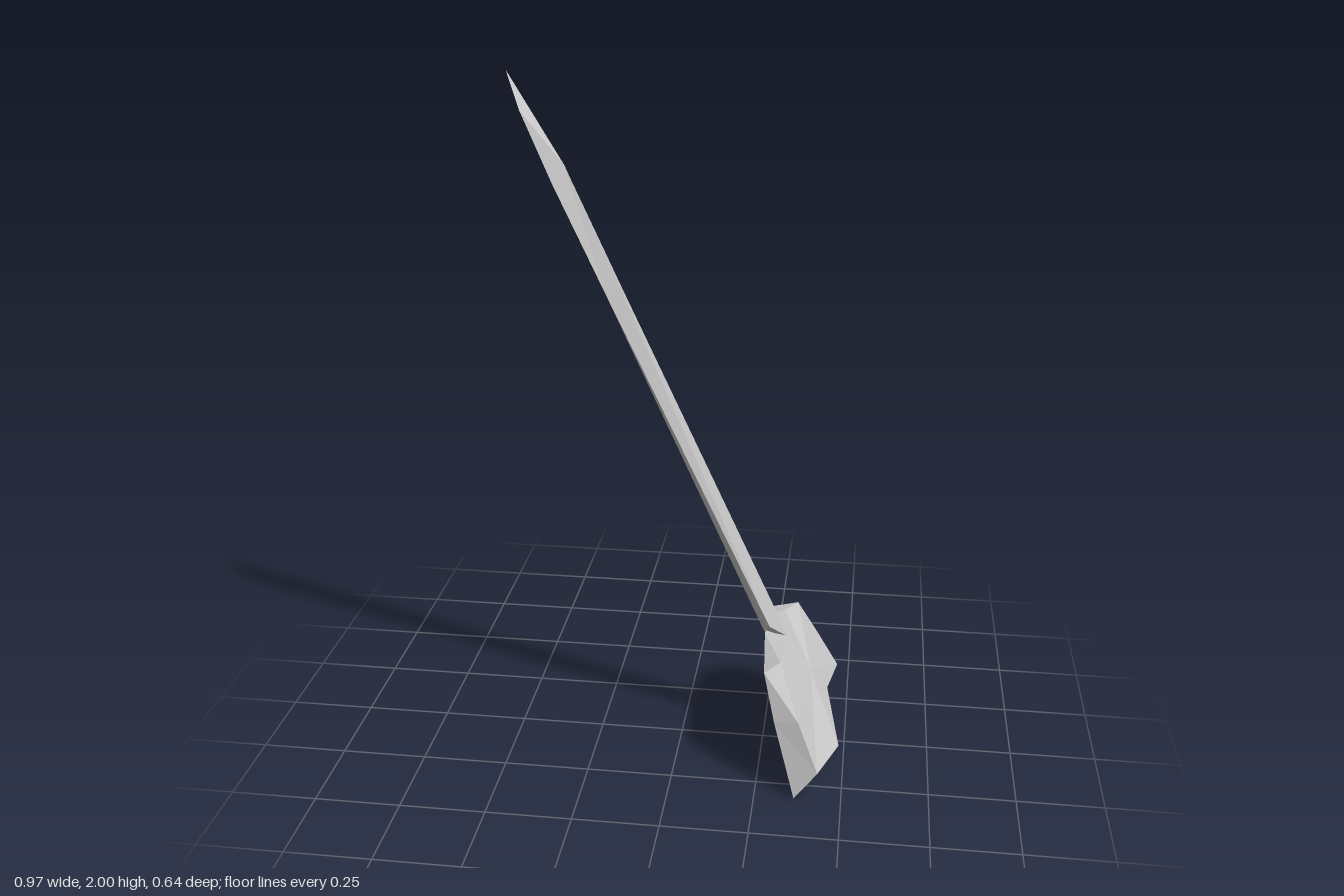
import * as THREE from 'three';

// Closed loft through rings of equal length, each end fanned to a centre point
function loft(rings, startCentre, endCentre) {
  const out = [];
  const tri = (a, b, c) => out.push(...a, ...b, ...c);
  const n = rings[0].length;
  const last = rings[rings.length - 1];
  for (let i = 0; i < n; i++) {
    const j = (i + 1) % n;
    for (let k = 0; k < rings.length - 1; k++) {
      const up = rings[k], low = rings[k + 1];
      tri(low[i], low[j], up[j]);
      tri(low[i], up[j], up[i]);
    }
    tri(startCentre, rings[0][i], rings[0][j]);
    tri(endCentre, last[j], last[i]);
  }
  const g = new THREE.BufferGeometry();
  g.setAttribute('position', new THREE.Float32BufferAttribute(out, 3));
  g.computeVertexNormals();
  return g;
}

export function createModel() {
  const group = new THREE.Group();
  group.name = 'broom';
  const grey = new THREE.MeshStandardMaterial({ color: 0xc8c8c8, flatShading: true });
  grey.name = 'plainGrey';

  // Leaning stick with a slanted, pointed top
  const tip = [-0.485, 2, -0.035], shoulder = [-0.44, 1.9, 0.015];
  const handle = new THREE.Mesh(loft([
    [tip, shoulder, shoulder, tip],
    [[-0.361, 1.72, -0.038], [-0.355, 1.7, 0.015], [-0.327, 1.75, -0.015], [-0.33, 1.74, -0.038]],
    [[-0.22, 1.4, -0.038], [-0.215, 1.4, 0.015], [-0.17, 1.4, -0.005], [-0.175, 1.4, -0.038]],
    [[0.245, 0.345, -0.035], [0.265, 0.388, 0.017], [0.32, 0.345, -0.01], [0.295, 0.36, -0.05]],
  ], [-0.462, 1.95, -0.01], [0.285, 0.34, -0.02]), grey);
  handle.name = 'handle';

  // Flared brush: rear outline, then front outline
  const rear = [
    [0.365, 0, 0.32], [0.30, 0.21, 0.26], [0.265, 0.345, 0.215], [0.25, 0.355, 0], [0.255, 0.355, -0.12],
    [0.26, 0.345, -0.2], [0.31, 0.2, -0.29], [0.37, 0.11, -0.31], [0.37, 0.1, -0.21], [0.36, 0.045, 0.1],
  ];
  const front = [
    [0.43, 0.08, 0.308], [0.37, 0.22, 0.27], [0.31, 0.363, 0.18], [0.32, 0.35, -0.01], [0.30, 0.356, -0.16],
    [0.335, 0.33, -0.265], [0.40, 0.21, -0.293], [0.465, 0.085, -0.32], [0.44, 0.12, -0.11], [0.485, 0.05, 0.105],
  ];
  const brush = new THREE.Mesh(loft([rear, front], [0.302, 0.22, 0], [0.39, 0.225, -0.03]), grey);
  brush.name = 'brushHead';

  group.add(handle, brush);
  return group;
}
